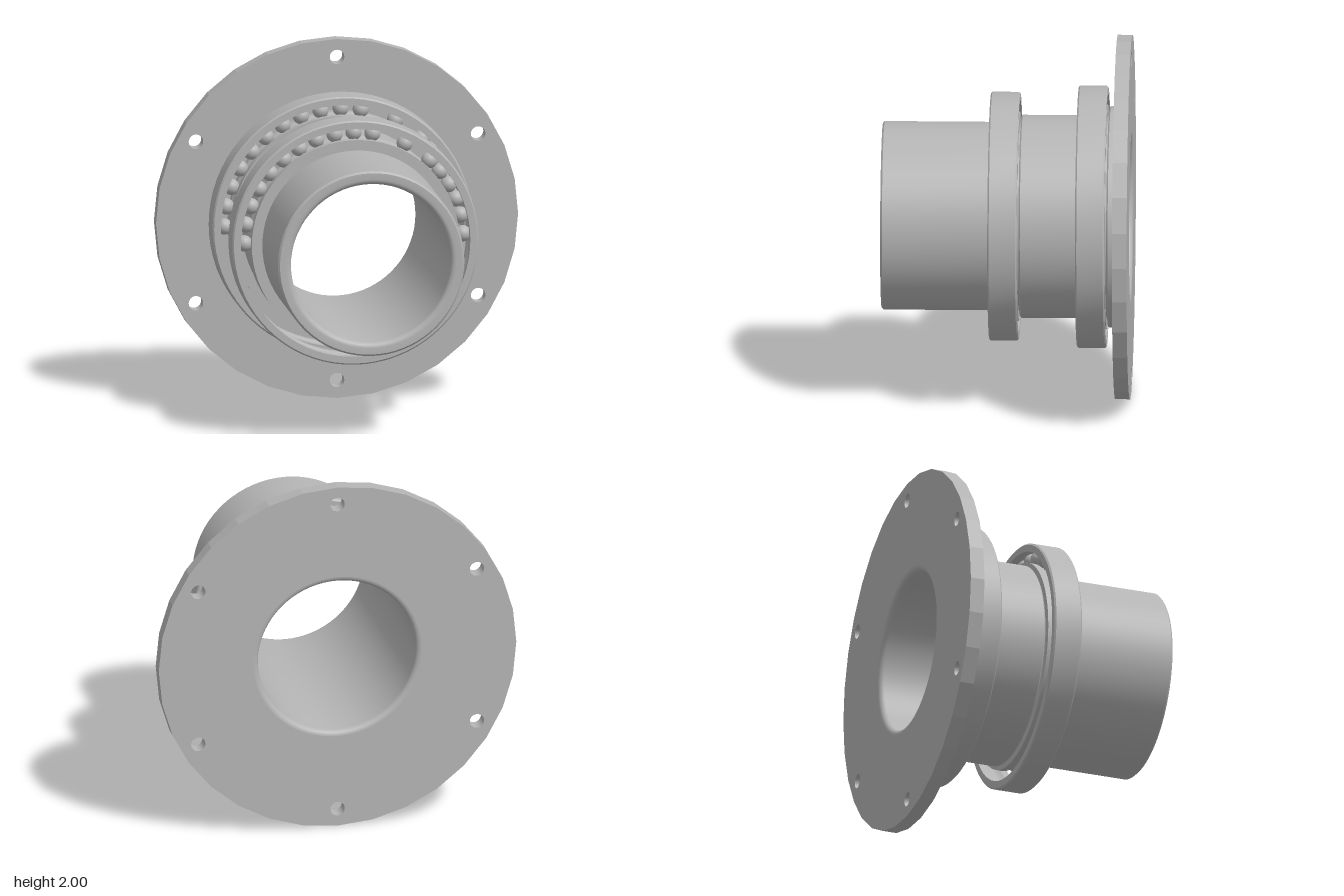
import * as THREE from 'three';
import { toCreasedNormals } from 'three/addons/utils/BufferGeometryUtils.js';

const steel = new THREE.MeshStandardMaterial({ color: 0xb4b4b4 });
steel.name = 'steel grey';

// Closed ring turned about the z axis from [radius, z] points,
// listed forward along the outside and back along the inside
function turned(name, points, segments = 72) {
  const profile = [...points, points[0]].map(([r, z]) => new THREE.Vector2(r, z));
  const geo = new THREE.LatheGeometry(profile, segments);
  geo.rotateX(Math.PI / 2);
  const mesh = new THREE.Mesh(toCreasedNormals(geo, 0.5), steel);
  mesh.name = name;
  return mesh;
}

// Points of a quarter round
function quarterRound(cr, cz, radius, startAngle, steps = 5) {
  return Array.from({ length: steps + 1 }, (_, i) => {
    const a = startAngle + (i / steps) * Math.PI / 2;
    return [cr + radius * Math.cos(a), cz + radius * Math.sin(a)];
  });
}

// Ball angles in degrees: the upper half only, unevenly spread on the left
const ballAngles = [180, 170, 160, 150, 140, 130, 120, 110, 100, 90, 80, 62, 46, 38, 29.5, 21, 12, 2];

function bearing(name, z, bore, outer) {
  const g = new THREE.Group();
  g.name = name;
  g.position.z = z;
  const h = 0.08, c = 0.008, ballRadius = 0.045;
  const innerLip = bore + 0.058, outerLip = outer - 0.046;
  const pitch = (innerLip + outerLip) / 2;
  // Ball track as a shallow arc, swept from the back lip to the front lip
  const track = (lip, depth) => Array.from({ length: 7 }, (_, i) => {
    const t = -1 + i / 3;
    return [lip + depth * (1 - t * t), t * 0.04];
  });

  g.add(turned('outerRace', [
    [outer - c, -h], [outer, -h + c], [outer, h - c], [outer - c, h],
    [outerLip, h], ...track(outerLip, 0.016).reverse(), [outerLip, -h],
  ]));
  g.add(turned('innerRace', [
    [innerLip, -h], ...track(innerLip, -0.016), [innerLip, h],
    [bore, h], [bore, -h],
  ]));

  const ballGeo = new THREE.SphereGeometry(ballRadius, 20, 14);
  for (const deg of ballAngles) {
    const a = THREE.MathUtils.degToRad(deg);
    const ball = new THREE.Mesh(ballGeo, steel);
    ball.name = 'ball';
    ball.position.set(pitch * Math.cos(a), pitch * Math.sin(a), 0);
    g.add(ball);
  }
  return g;
}

// Round plate with six bolt holes
function flange() {
  const corners = Array.from({ length: 32 }, (_, i) => {
    const a = (i / 32) * Math.PI * 2;
    return new THREE.Vector2(Math.cos(a), Math.sin(a));
  });
  const shape = new THREE.Shape(corners);
  const hole = (x, y, r) => shape.holes.push(new THREE.Path().absarc(x, y, r, 0, Math.PI * 2, true));
  hole(0, 0, 0.47);
  for (let i = 0; i < 6; i++) {
    const a = Math.PI / 6 + i * Math.PI / 3;
    hole(0.9 * Math.cos(a), 0.9 * Math.sin(a), 0.04);
  }
  const geo = new THREE.ExtrudeGeometry(shape, { depth: 0.08, bevelEnabled: false, curveSegments: 36 });
  geo.translate(0, 0, -0.68);
  const mesh = new THREE.Mesh(geo, steel);
  mesh.name = 'flange';
  return mesh;
}

export function createModel() {
  const model = new THREE.Group();
  model.name = 'flangedHub';

  // Stepped hollow shaft with rounded mouths
  const shaft = turned('shaft', [
    [0.47, -0.68], [0.47, -0.602], [0.605, -0.602], [0.605, -0.566], [0.597, -0.558],
    [0.555, -0.558], [0.555, -0.085], [0.547, -0.077], [0.515, -0.077],
    [0.515, 0.67], [0.505, 0.68],
    ...quarterRound(0.47, 0.65, 0.03, Math.PI / 2),
    ...quarterRound(0.47, -0.65, 0.03, Math.PI),
  ]);

  const body = new THREE.Group();
  body.name = 'hub';
  body.position.y = 1;
  body.add(
    flange(),
    shaft,
    bearing('frontBearing', 0.01, 0.515, 0.68),
    bearing('rearBearing', -0.47, 0.555, 0.718),
  );
  model.add(body);
  return model;
}
